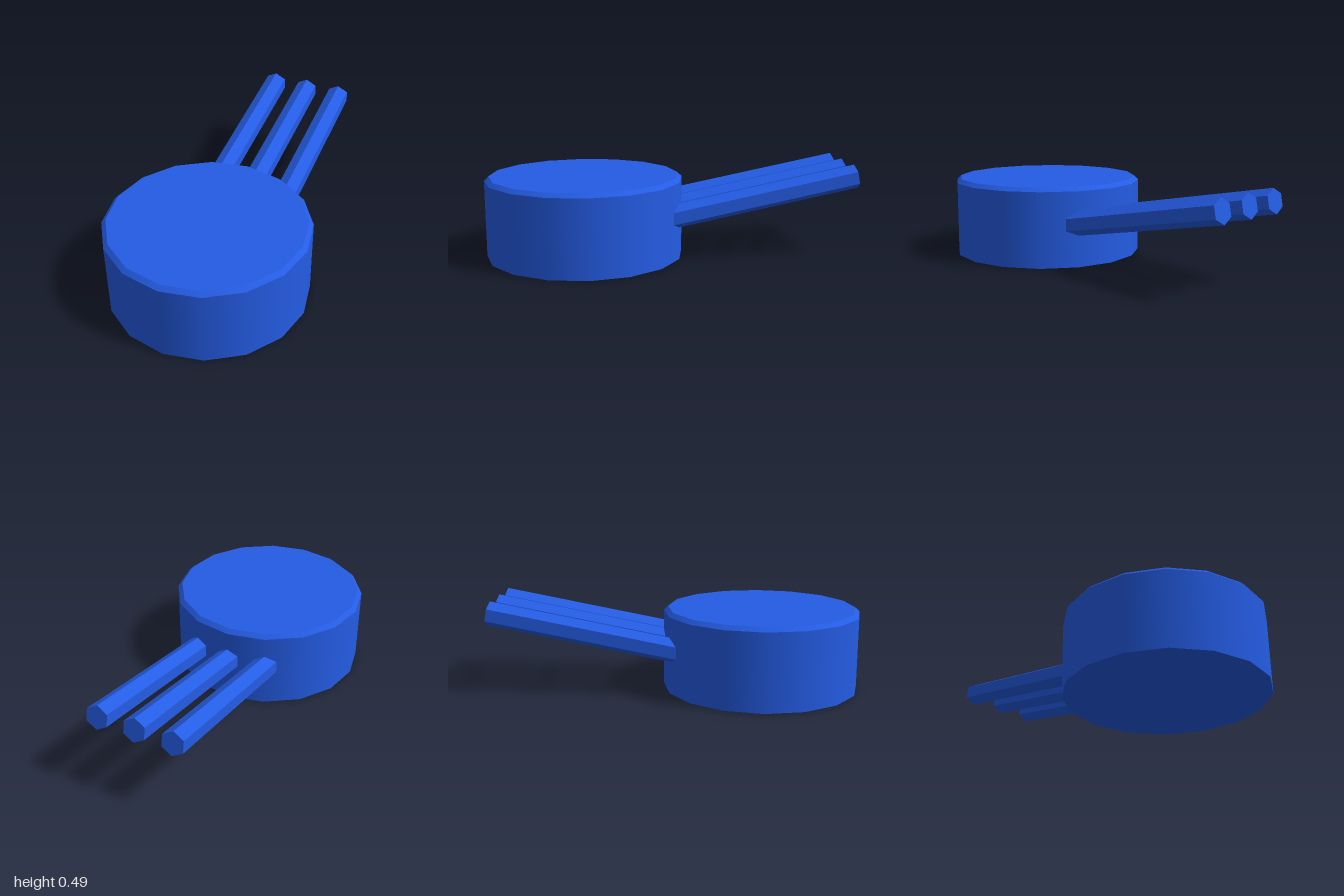
import * as THREE from 'three';

export function createModel() {
  const blue = new THREE.MeshStandardMaterial({ color: 0x245ce4 });
  blue.name = 'blue';
  const group = new THREE.Group();
  group.name = 'pan';

  const SIDES = 16, R = 0.533, RIM = 0.51, WALL = 0.415, TOP = 0.437, Z = 0.467;
  const add = (parent, name, geometry, x, y, z) => {
    const mesh = new THREE.Mesh(geometry, blue);
    mesh.name = name;
    mesh.position.set(x, y, z);
    parent.add(mesh);
    return mesh;
  };

  // Round body: smooth wall, bevelled rim, flat lid and base
  const body = new THREE.Group();
  body.name = 'body';
  body.position.z = Z;
  group.add(body);
  add(body, 'wall', new THREE.CylinderGeometry(R, R, WALL, SIDES, 1, true), 0, WALL / 2, 0);
  add(body, 'bevel', new THREE.CylinderGeometry(RIM, R, TOP - WALL, SIDES, 1, true), 0, (WALL + TOP) / 2, 0);
  add(body, 'lid', new THREE.CircleGeometry(RIM, SIDES).rotateX(-Math.PI / 2), 0, TOP, 0);
  add(body, 'base', new THREE.CircleGeometry(R, SIDES).rotateX(Math.PI / 2), 0, 0, 0);

  // Three faceted hexagonal rods, rising towards the back
  const start = new THREE.Vector3(0, 0.222, 0.07);
  const end = new THREE.Vector3(0, 0.428, -0.988);
  const rise = Math.atan2(end.y - start.y, start.z - end.z);
  const rod = new THREE.CylinderGeometry(0.065, 0.065, start.distanceTo(end), 6).toNonIndexed();
  rod.computeVertexNormals();
  const middle = start.clone().add(end).multiplyScalar(0.5);
  for (const [name, x] of [['rightRod', -0.204], ['middleRod', 0], ['leftRod', 0.204]]) {
    add(group, name, rod, x, middle.y, middle.z).rotation.x = rise - Math.PI / 2;
  }
  return group;
}
